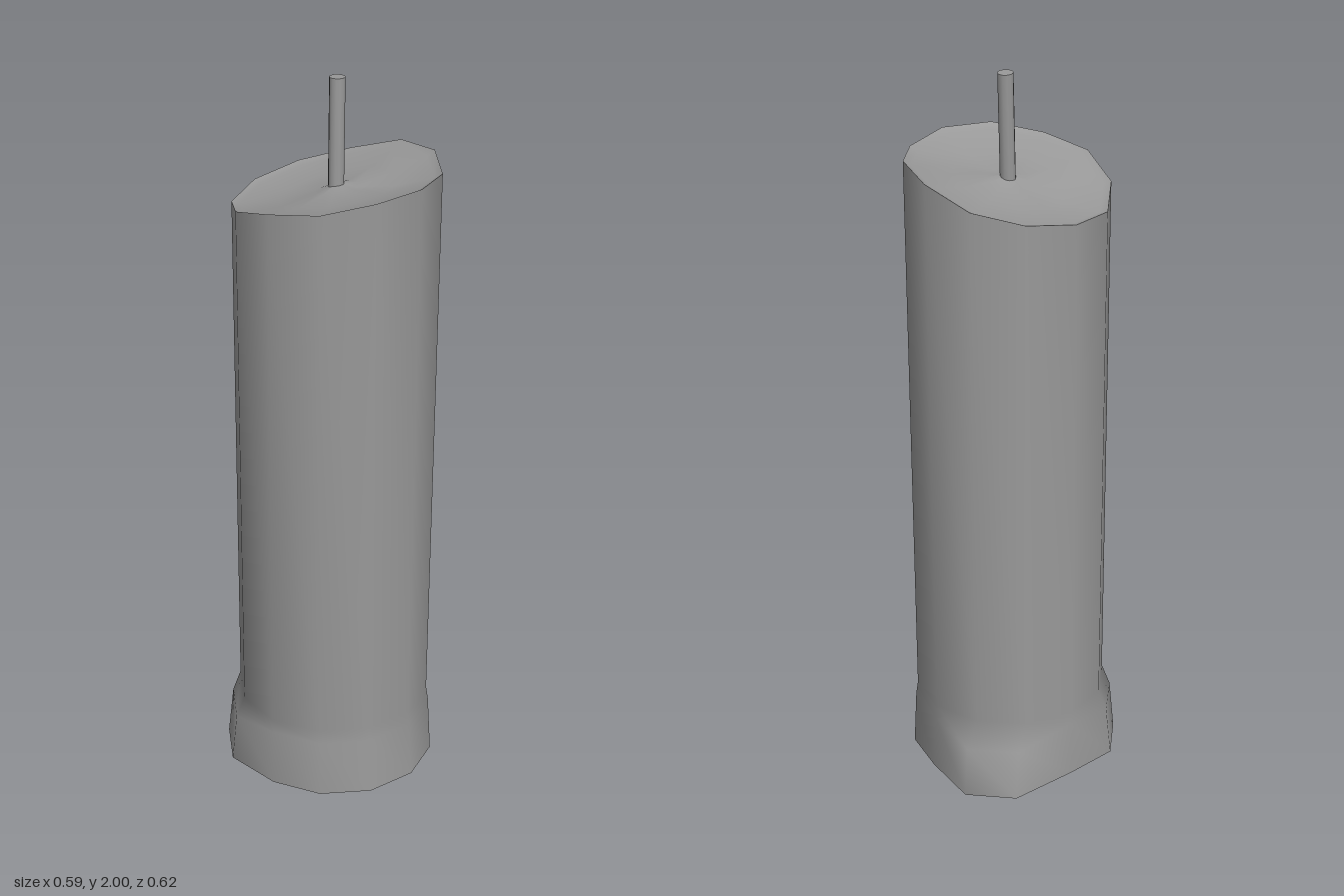
import * as THREE from 'three';

const SIDES = 12;

// Skin a list of 12-point rings; the ring order decides which way it faces
function loft(rings) {
  const index = [];
  for (let r = 0; r < rings.length - 1; r++) {
    for (let i = 0; i < SIDES; i++) {
      const j = (i + 1) % SIDES;
      const a = r * SIDES + i, b = r * SIDES + j;
      index.push(a, b, a + SIDES, b, b + SIDES, a + SIDES);
    }
  }
  const geometry = new THREE.BufferGeometry();
  geometry.setAttribute('position', new THREE.Float32BufferAttribute(rings.flat(2), 3));
  geometry.setIndex(index);
  geometry.computeVertexNormals();
  return geometry;
}

// Ring starting at +z and turning towards +x; height is given per corner
function ring(cx, cz, radius, height) {
  return Array.from({ length: SIDES }, (_, i) => {
    const a = (i / SIDES) * Math.PI * 2;
    return [cx + Math.sin(a) * radius, height(i), cz + Math.cos(a) * radius];
  });
}

export function createModel() {
  const model = new THREE.Group();
  const wax = new THREE.MeshStandardMaterial({ color: 0x999999 });
  wax.name = 'grey wax';

  const add = (name, geometry) => {
    const mesh = new THREE.Mesh(geometry, wax);
    mesh.name = name;
    model.add(mesh);
    return mesh;
  };

  // Slanted rim heights, from the front corner round by the left side
  const rimY = [1.74, 1.765, 1.77, 1.76, 1.77, 1.755, 1.71, 1.68, 1.66, 1.65, 1.68, 1.72];

  // Flared foot with melted wax pooled at the back right
  const base = ring(0.015, 0.035, 0.275, () => 0);
  const shoulder = ring(0.012, 0.03, 0.269, () => 0.16);
  const pool = { 6: [0.015, -0.312, -0.295], 7: [-0.125, -0.28, -0.262] };
  for (const [i, [x, z0, z1]] of Object.entries(pool)) {
    base[i] = [x, 0, z0];
    shoulder[i] = [x, 0.14, z1];
  }
  base[8] = [-0.226, 0, -0.105];
  base[9] = [-0.295, 0, 0.035];
  base[10] = [-0.258, 0, 0.173];
  shoulder[9] = [-0.28, 0.14, 0.035];
  shoulder[10] = [-0.245, 0.14, 0.17];
  const neck = ring(0.008, 0.029, 0.267, () => 0.2);
  const rim = ring(0.017, 0.035, 0.275, (i) => rimY[i]);
  add('candleBody', loft([base, shoulder, neck, rim]));

  // Shallow melted dish inside the rim
  const centreY = 1.718;
  const dish = [[1, 0], [0.92, 0.01], [0.55, 0.022], [0.2, 0.016], [0, 0]].map(([t, dip]) =>
    ring(0.017, 0.035, 0.275 * t, (i) => centreY + (rimY[i] - centreY) * t - dip));
  add('meltedTop', loft(dish));

  // Flat underside
  add('underside', loft([ring(0, 0, 0, () => 0), base]));

  // Wick, leaning slightly backwards
  const foot = new THREE.Vector3(0.016, 1.69, 0.032);
  const tip = new THREE.Vector3(0.017, 1.999, 0.016);
  const lean = tip.clone().sub(foot);
  const wick = add('wick', new THREE.CylinderGeometry(0.021, 0.021, lean.length(), 12));
  wick.position.copy(foot).lerp(tip, 0.5);
  wick.quaternion.setFromUnitVectors(new THREE.Vector3(0, 1, 0), lean.normalize());

  return model;
}
